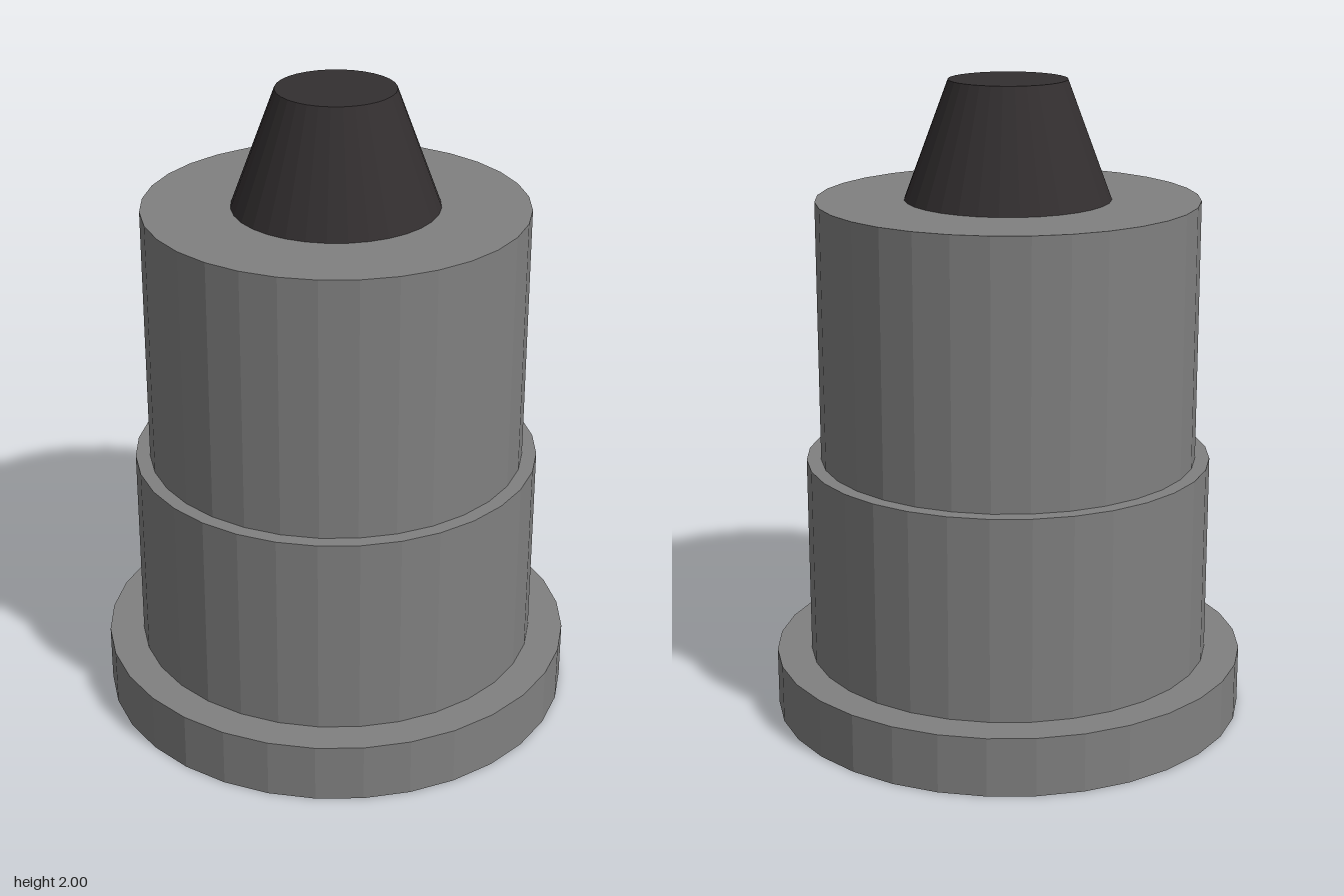
import * as THREE from 'three';

const SIDES = 32;

export function createModel() {
  const model = new THREE.Group();
  const bodyMaterial = new THREE.MeshStandardMaterial({ color: 0x808080, flatShading: true });
  const tipMaterial = new THREE.MeshStandardMaterial({ color: 0x332f30, flatShading: true });

  // Stacked round sections, from the foot flange up to the tapered tip
  const sections = [
    { name: 'baseFlange', bottom: 0.745, top: 0.745, y0: 0, y1: 0.185, material: bodyMaterial },
    { name: 'lowerBody', bottom: 0.635, top: 0.635, y0: 0.185, y1: 0.82, material: bodyMaterial },
    { name: 'upperBody', bottom: 0.59, top: 0.59, y0: 0.82, y1: 1.637, material: bodyMaterial },
    { name: 'taperedTip', bottom: 0.318, top: 0.182, y0: 1.637, y1: 2, material: tipMaterial },
  ];

  for (const { name, bottom, top, y0, y1, material } of sections) {
    const section = new THREE.Mesh(new THREE.CylinderGeometry(top, bottom, y1 - y0, SIDES), material);
    section.name = name;
    section.position.y = (y0 + y1) / 2;
    model.add(section);
  }

  return model;
}
